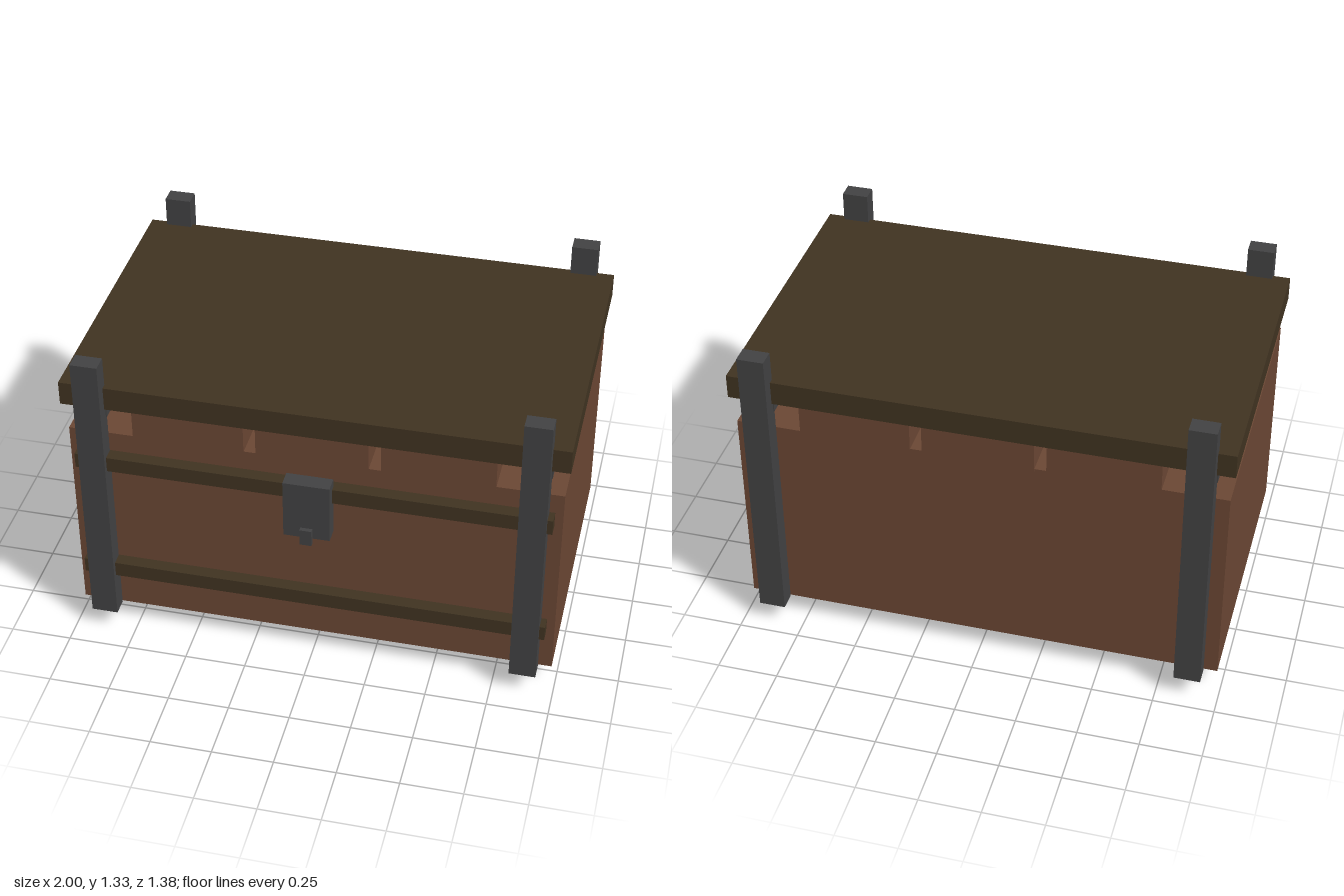
import * as THREE from 'three';

const material = (name, color) => {
  const m = new THREE.MeshStandardMaterial({ color });
  m.name = name;
  return m;
};

export function createModel() {
  const chest = new THREE.Group();
  chest.name = 'chest';
  const wood = material('brown wood', 0x6b4734);
  const darkWood = material('dark wood', 0x403321);
  const iron = material('grey iron', 0x424243);

  // Box given by its extents along each axis
  const box = (name, mat, [x0, x1], [y0, y1], [z0, z1]) => {
    const mesh = new THREE.Mesh(new THREE.BoxGeometry(x1 - x0, y1 - y0, z1 - z0), mat);
    mesh.position.set((x0 + x1) / 2, (y0 + y1) / 2, (z0 + z1) / 2);
    mesh.name = name;
    chest.add(mesh);
  };
  // Same box on both sides of x = 0
  const pair = (name, mat, [x0, x1], y, z) => {
    box(name + 'Left', mat, [x0, x1], y, z);
    box(name + 'Right', mat, [-x1, -x0], y, z);
  };

  box('body', wood, [-0.983, 0.983], [0.094, 0.968], [-0.615, 0.575]);
  box('lid', darkWood, [-1, 1], [1.1, 1.2], [-0.642, 0.602]);

  // Three spacer planks between body and lid
  [-0.496, 0, 0.496].forEach((x, i) =>
    box('spacer' + (i + 1), wood, [x - 0.224, x + 0.224], [0.956, 1.11], [-0.619, 0.578]));

  // Corner posts, joined by rails under the lid
  pair('frontPost', iron, [0.82, 0.928], [0.09, 1.325], [0.578, 0.649]);
  pair('backPost', iron, [0.82, 0.928], [0.09, 1.325], [-0.692, -0.619]);
  pair('rail', iron, [0.816, 0.932], [1.056, 1.165], [-0.63, 0.59]);

  // Front straps
  box('lowerStrap', darkWood, [-0.95, 0.95], [0.278, 0.343], [0.574, 0.629]);
  box('upperStrap', darkWood, [-0.95, 0.95], [0.818, 0.883], [0.574, 0.629]);

  // Lock plate and latch
  box('lockPlate', iron, [-0.094, 0.092], [0.664, 0.919], [0.607, 0.673]);
  box('latch', iron, [-0.025, 0.023], [0.641, 0.712], [0.674, 0.692]);

  // Feet
  pair('frontFoot', darkWood, [0.752, 0.907], [0, 0.095], [0.336, 0.475]);
  pair('backFoot', darkWood, [0.752, 0.907], [0, 0.095], [-0.515, -0.376]);

  return chest;
}
